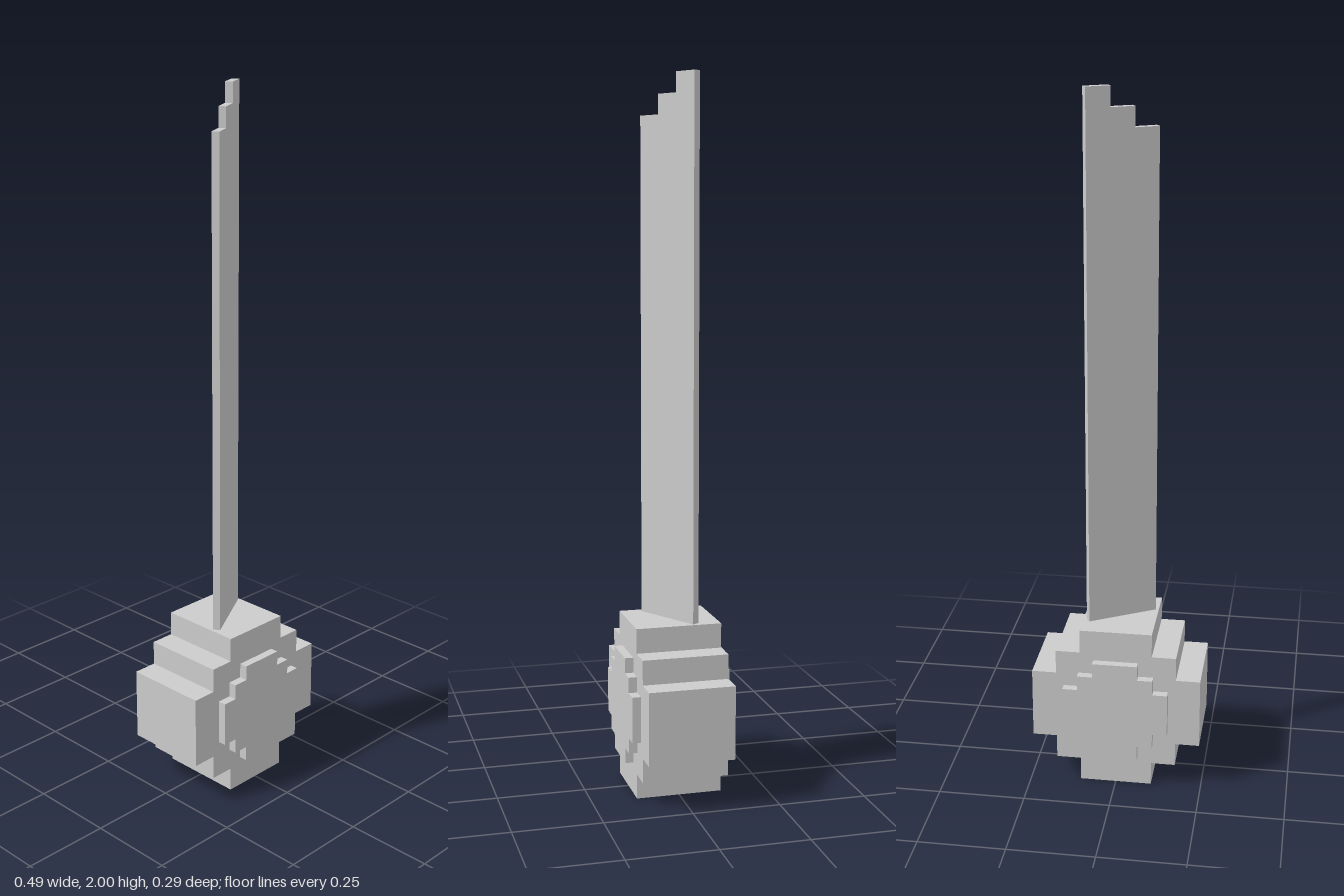
import * as THREE from 'three';

const material = new THREE.MeshStandardMaterial({ color: 0xcccccc, flatShading: true });

// Stepped "pixel circle" outline with half-widths a > b > c
function steppedDisc(a, b, c) {
  const quarter = [[a, c], [b, c], [b, b], [c, b], [c, a]];
  const points = [];
  for (const [sx, sy] of [[1, 1], [-1, 1], [-1, -1], [1, -1]]) {
    const part = quarter.map(([x, y]) => new THREE.Vector2(x * sx, y * sy));
    points.push(...(sx * sy > 0 ? part : part.reverse()));
  }
  return new THREE.Shape(points);
}

// Extrude a shape to the given depth, centred on its own z
function slab(name, shape, depth) {
  const geometry = new THREE.ExtrudeGeometry(shape, { depth, bevelEnabled: false });
  geometry.translate(0, 0, -depth / 2);
  const mesh = new THREE.Mesh(geometry, material);
  mesh.name = name;
  return mesh;
}

export function createModel() {
  const group = new THREE.Group();
  group.name = 'pendulum';
  const centerY = 0.244, bobDepth = 0.244, plateDepth = 0.024;

  // Thick stepped bob at the bottom
  const bob = slab('bob', steppedDisc(0.244, 0.174, 0.104), bobDepth);
  bob.position.y = centerY;
  group.add(bob);

  // Raised stepped plates on the front and back of the bob
  for (const [name, side] of [['frontPlate', 1], ['backPlate', -1]]) {
    const plate = slab(name, steppedDisc(0.152, 0.109, 0.065), plateDepth);
    plate.position.set(0, centerY, side * (bobDepth + plateDepth) / 2);
    group.add(plate);
  }

  // Thin upright blade, turned 30 degrees, with a three-step top
  const half = 0.104, step = half / 3, bottom = 0.485;
  const outline = [
    [-half, bottom], [half, bottom], [half, 2], [step, 2],
    [step, 1.945], [-step, 1.945], [-step, 1.89], [-half, 1.89],
  ];
  const blade = slab('blade', new THREE.Shape(outline.map(([x, y]) => new THREE.Vector2(x, y))), 0.021);
  blade.rotation.y = Math.PI / 6;
  group.add(blade);

  return group;
}
